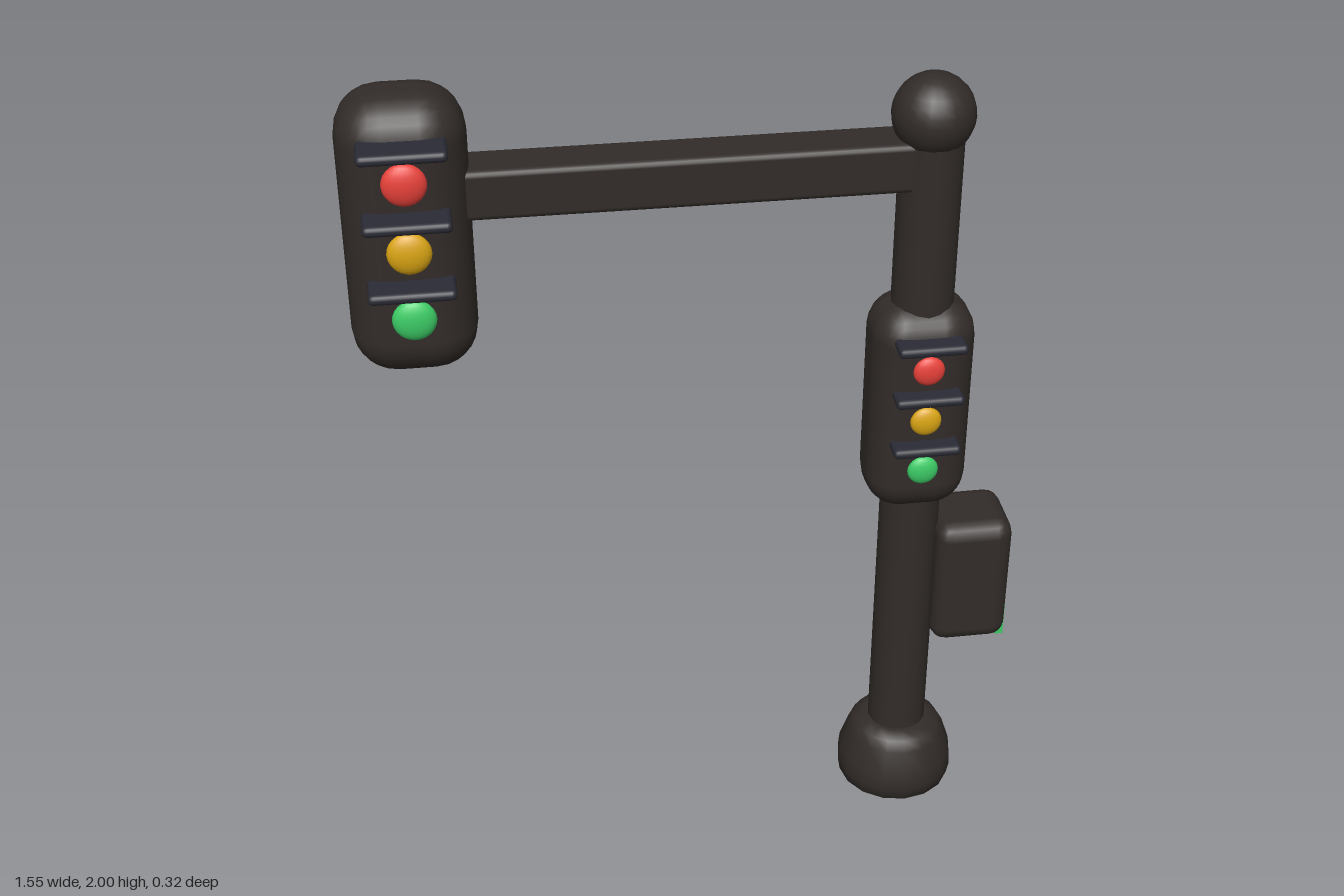
import * as THREE from 'three';
import { RoundedBoxGeometry } from 'three/addons/geometries/RoundedBoxGeometry.js';

const mat = (color) => new THREE.MeshStandardMaterial({ color });
const BODY = mat(0x322c29), VISOR = mat(0x2b2b36);
const RED = mat(0xe8413a), AMBER = mat(0xd9a413), GREEN = mat(0x3ccb66);
const POLE_X = 0.52, POLE_Z = -0.012;

function add(parent, name, geometry, material, x, y, z) {
  const mesh = new THREE.Mesh(geometry, material);
  mesh.name = name;
  mesh.position.set(x, y, z);
  parent.add(mesh);
  return mesh;
}

const roundedBox = (w, h, d, r, segments = 2) => new RoundedBoxGeometry(w, h, d, segments, r);

// Signal head with three domed lamps, each under a flat visor
function signalHead(name, size, radius, lampRadius, spacing, visor) {
  const head = new THREE.Group();
  head.name = name;
  const [w, h, d] = size;
  add(head, 'housing', roundedBox(w, h, d, radius, 3), BODY, 0, 0, 0);
  [['red', RED], ['amber', AMBER], ['green', GREEN]].forEach(([label, material], i) => {
    const y = (1 - i) * spacing;
    const lamp = add(head, label + 'Lamp', new THREE.SphereGeometry(lampRadius, 20, 12), material, 0, y - 0.003, d / 2);
    lamp.scale.z = 0.45;
    add(head, label + 'Visor', roundedBox(visor.w, 0.024, visor.d + 0.03, 0.011), VISOR,
      0, y + visor.rise, d / 2 + (visor.d - 0.03) / 2);
  });
  return head;
}

export function createModel() {
  const model = new THREE.Group();
  model.name = 'trafficLight';

  // Flared foot
  const profile = [[0, 0], [0.125, 0], [0.142, 0.012], [0.148, 0.045], [0.145, 0.085],
    [0.124, 0.15], [0.108, 0.175], [0.08, 0.19], [0, 0.19]].map(([r, y]) => new THREE.Vector2(r, y));
  add(model, 'base', new THREE.LatheGeometry(profile, 16), BODY, POLE_X, 0, POLE_Z);

  // Upright, its ball cap and the arm
  add(model, 'pole', new THREE.CylinderGeometry(0.073, 0.073, 1.74, 16), BODY, POLE_X, 1.0, POLE_Z);
  add(model, 'capBall', new THREE.SphereGeometry(0.094, 20, 14), BODY, POLE_X, 1.87, POLE_Z);
  add(model, 'arm', roundedBox(1.06, 0.116, 0.118, 0.014), BODY, -0.03, 1.762, -0.018);

  // Large head at the end of the arm, small one on the pole
  const large = signalHead('armSignal', [0.28, 0.655, 0.232], 0.1, 0.049, 0.161,
    { w: 0.19, d: 0.066, rise: 0.082 });
  large.position.set(-0.635, 1.672, -0.018);
  const small = signalHead('poleSignal', [0.243, 0.545, 0.208], 0.085, 0.037, 0.135,
    { w: 0.16, d: 0.043, rise: 0.067 });
  small.position.set(POLE_X, 1.146, -0.012);
  model.add(large, small);

  // Pedestrian signal facing sideways
  const crossing = new THREE.Group();
  crossing.name = 'pedestrianSignal';
  add(crossing, 'pedestrianHousing', roundedBox(0.19, 0.345, 0.194, 0.04), BODY, 0.672, 0.643, -0.015);
  add(crossing, 'stopPanel', new THREE.BoxGeometry(0.02, 0.087, 0.094), RED, 0.76, 0.637, -0.013);
  add(crossing, 'walkPanel', new THREE.BoxGeometry(0.02, 0.09, 0.094), GREEN, 0.762, 0.497, -0.013);
  model.add(crossing);

  return model;
}
